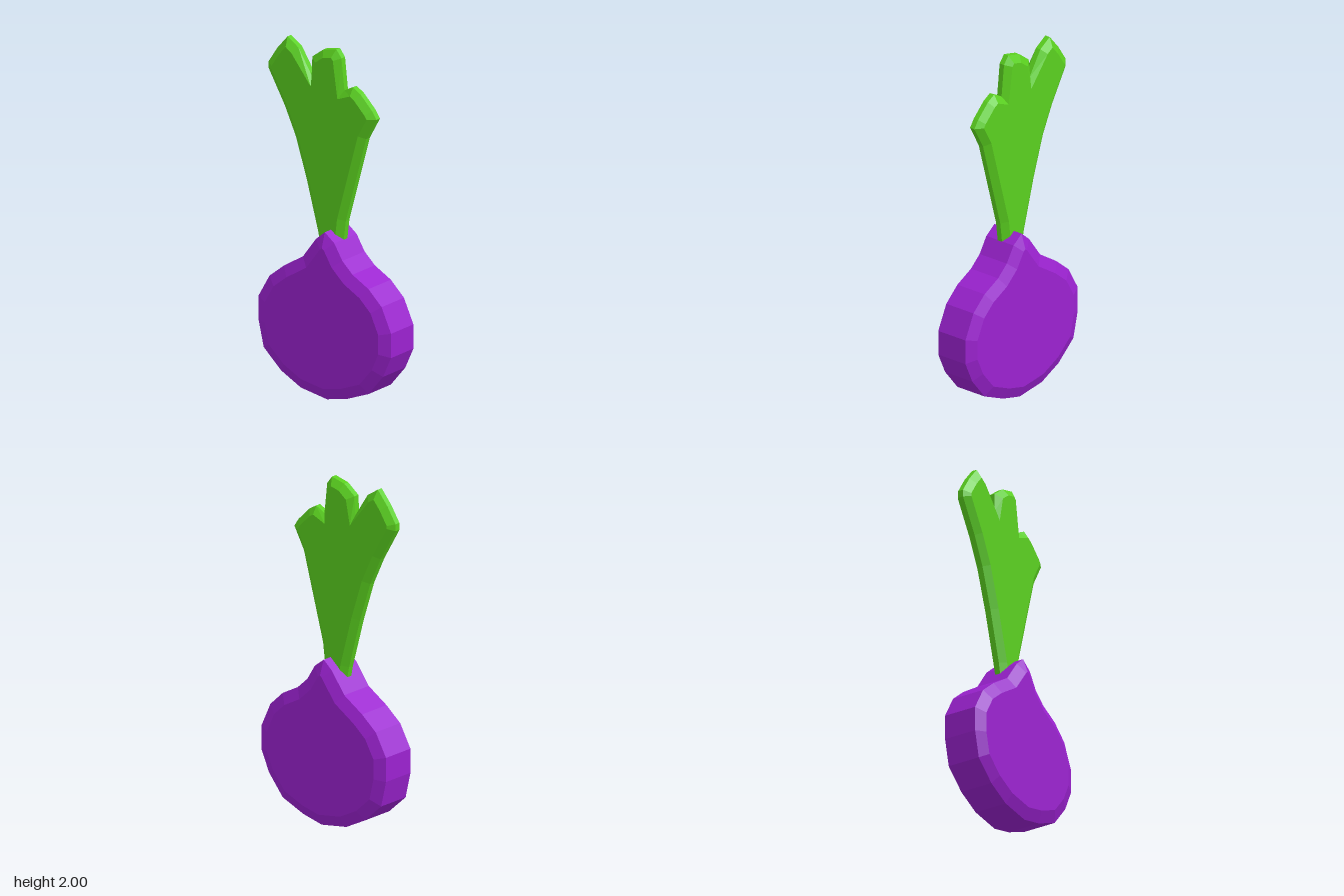
import * as THREE from 'three';

// Flat bevelled slab: outline points are [toward the back, up], thickness runs along x
function slab(name, points, color, halfRim, bevelThickness, bevelSize) {
  const shape = new THREE.Shape(points.map(([u, v]) => new THREE.Vector2(u, v)));
  const geometry = new THREE.ExtrudeGeometry(shape, {
    depth: halfRim * 2,
    bevelEnabled: true,
    bevelThickness,
    bevelSize,
    bevelOffset: -bevelSize, // keeps the rim on the outline
    bevelSegments: 1,
  });
  geometry.translate(0, 0, -halfRim);
  geometry.rotateY(Math.PI / 2);
  const mesh = new THREE.Mesh(geometry, new THREE.MeshStandardMaterial({ color, flatShading: true }));
  mesh.name = name;
  return mesh;
}

export function createModel() {
  const group = new THREE.Group();
  group.name = 'rootVegetable';

  // Round bulb with a pointed neck
  const bulb = [
    [0, 0.96], [-0.065, 0.91], [-0.12, 0.82], [-0.19, 0.755], [-0.3, 0.695], [-0.39, 0.61],
    [-0.455, 0.47], [-0.455, 0.33], [-0.4, 0.21], [-0.3, 0.09], [-0.15, 0.03], [-0.015, 0],
    [0.165, 0.03], [0.3, 0.1], [0.42, 0.21], [0.455, 0.36], [0.455, 0.5], [0.38, 0.63],
    [0.28, 0.71], [0.15, 0.79], [0.06, 0.91],
  ];
  group.add(slab('bulb', bulb, 0x9b22d0, 0.1, 0.03, 0.065));

  // Fan of three leaf blades, its stem sunk into the bulb
  const leaves = [
    [-0.055, 0.82], [-0.08, 1.02], [-0.22, 1.52], [-0.29, 1.645], [-0.26, 1.69], [-0.18, 1.77],
    [-0.13, 1.8], [-0.07, 1.77], [-0.05, 1.95], [-0.015, 1.995], [0.075, 1.975], [0.15, 1.92],
    [0.155, 1.81], [0.245, 1.95], [0.32, 2], [0.39, 1.92], [0.45, 1.83], [0.45, 1.79],
    [0.34, 1.6], [0.265, 1.44], [0.19, 1.21], [0.11, 0.92], [0.09, 0.82],
  ];
  group.add(slab('leaves', leaves, 0x5ad01f, 0.016, 0.028, 0.04));

  return group;
}
